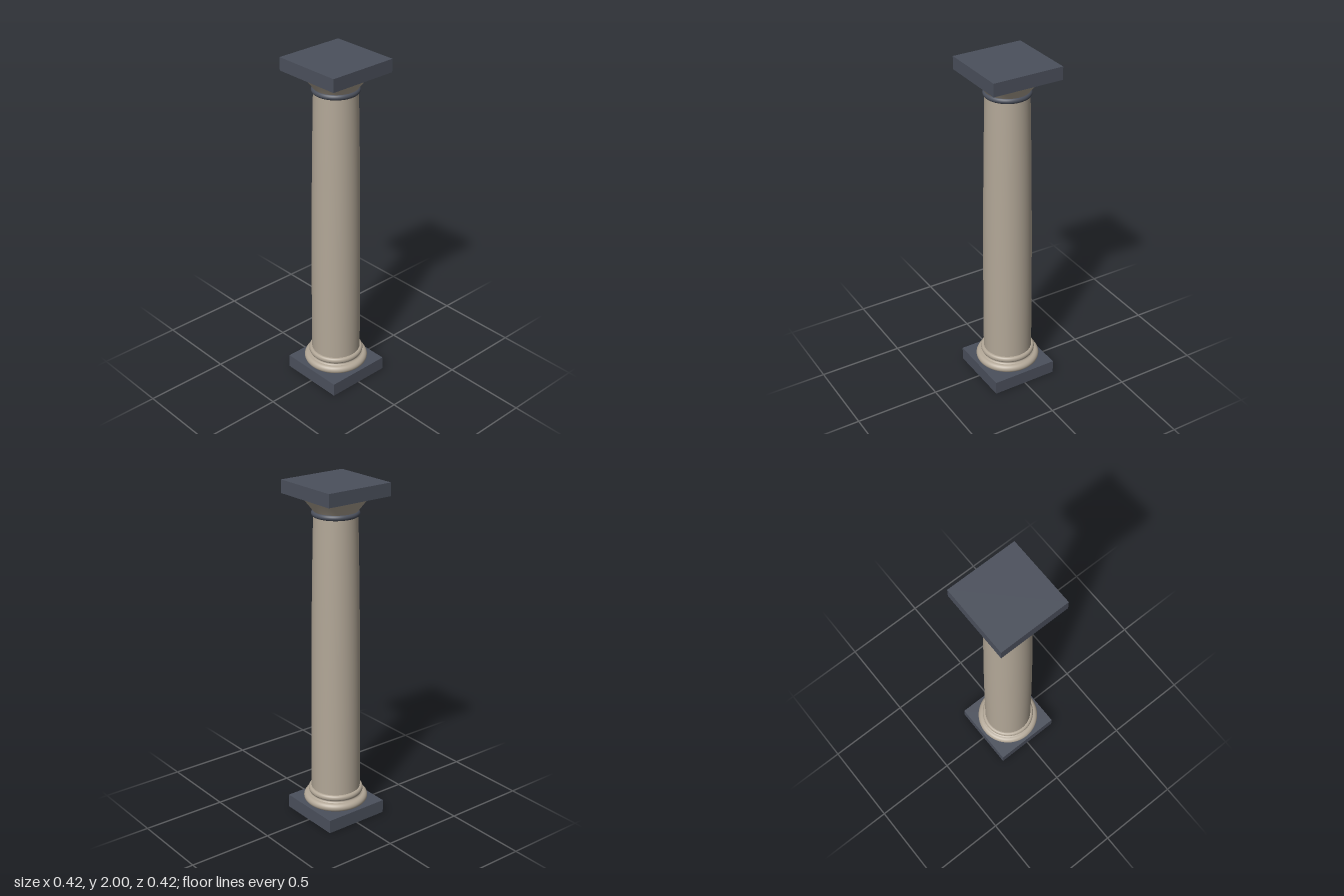
import * as THREE from 'three';

const SEGMENTS = 64;

export function createModel() {
  const column = new THREE.Group();
  column.name = 'column';

  const stone = new THREE.MeshStandardMaterial({ color: 0xb2a797 });
  stone.name = 'warm stone';
  const slate = new THREE.MeshStandardMaterial({ color: 0x4b505c });
  slate.name = 'dark slate';

  const add = (name, geometry, material, y = 0) => {
    const mesh = new THREE.Mesh(geometry, material);
    mesh.name = name;
    mesh.position.y = y;
    column.add(mesh);
    return mesh;
  };
  // Square slab between two heights
  const slab = (name, half, y0, y1) =>
    add(name, new THREE.BoxGeometry(half * 2, y1 - y0, half * 2), slate, (y0 + y1) / 2);
  // Turned part from [radius, height] pairs, bottom to top
  const turned = (name, profile) =>
    add(name, new THREE.LatheGeometry(profile.map(([r, y]) => new THREE.Vector2(r, y)), SEGMENTS), stone);
  // Points on an elliptical arc, for mouldings
  const arc = (cx, cy, rx, ry, from, to, n = 12) =>
    Array.from({ length: n + 1 }, (_, i) => {
      const a = from + (to - from) * i / n;
      return [cx + rx * Math.cos(a), cy + ry * Math.sin(a)];
    });

  slab('plinth', 0.2, 0, 0.08);
  slab('abacus', 0.21, 1.925, 2);

  // Base mouldings: large roll, hollow, small roll
  const q = Math.PI / 2;
  turned('lowerTorus', [[0, 0.08], ...arc(0.162, 0.105, 0.026, 0.025, -q, q)]);
  turned('scotia', arc(0.168, 0.135, 0.018, 0.012, 3 * q, q));
  turned('upperTorus', [...arc(0.147, 0.155, 0.013, 0.017, -q, q), [0.14, 0.172]]);

  // Shaft, swelling gently and tapering to the neck
  const shaft = [];
  for (let i = 0; i <= 24; i++) {
    const t = i / 24;
    shaft.push([0.143 - 0.021 * Math.pow(t, 2.2), 0.1 + 1.75 * t]);
  }
  turned('shaft', shaft);

  // Neck ring
  const ring = add('neckRing', new THREE.TorusGeometry(0.118, 0.016, 16, SEGMENTS), slate, 1.826);
  ring.rotation.x = q;

  // Flaring capital with a hollow profile
  const flare = new THREE.QuadraticBezierCurve(
    new THREE.Vector2(0.122, 1.838), new THREE.Vector2(0.145, 1.87), new THREE.Vector2(0.191, 1.925));
  turned('echinus', flare.getPoints(14).map((p) => [p.x, p.y]));

  return column;
}
